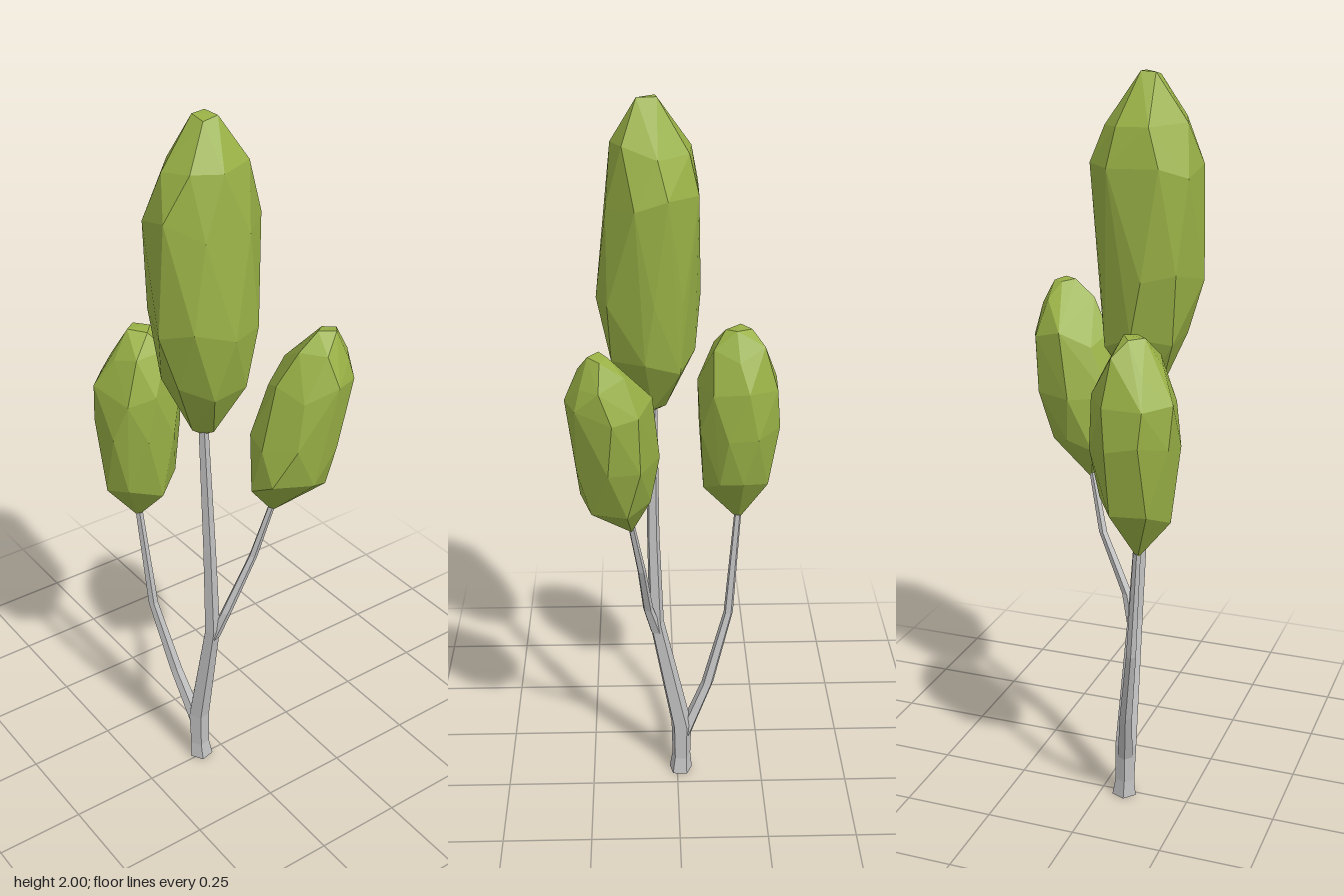
import * as THREE from 'three';
import { ConvexGeometry } from 'three/addons/geometries/ConvexGeometry.js';

const bark = new THREE.MeshStandardMaterial({ color: 0xc2c2c2, flatShading: true });
bark.name = 'pale grey bark';
const leaf = new THREE.MeshStandardMaterial({ color: 0x99b146, flatShading: true });
leaf.name = 'leaf green';

// Tapered limb through level rings: each ring is [x, y, z, radius]
function limb(name, rings, sides = 5) {
  const pos = [], idx = [];
  rings.forEach(([x, y, z, r]) => {
    for (let i = 0; i < sides; i++) {
      const a = (i / sides) * Math.PI * 2 + 0.4;
      pos.push(x + r * Math.cos(a), y, z + r * Math.sin(a));
    }
  });
  for (let k = 0; k < rings.length - 1; k++) {
    for (let i = 0; i < sides; i++) {
      const a = k * sides + i, b = k * sides + (i + 1) % sides;
      idx.push(a, a + sides, b, b, a + sides, b + sides);
    }
  }
  // End caps
  const top = (rings.length - 1) * sides;
  for (let i = 1; i < sides - 1; i++) {
    idx.push(0, i, i + 1, top, top + i + 1, top + i);
  }
  const g = new THREE.BufferGeometry();
  g.setAttribute('position', new THREE.Float32BufferAttribute(pos, 3));
  g.setIndex(idx);
  g.computeVertexNormals();
  const m = new THREE.Mesh(g, bark);
  m.name = name;
  return m;
}

// Faceted crown from staggered rings: each ring is [y, xMin, xMax, zMin, zMax, sides]
function crown(name, tip, rings, seed) {
  const rand = () => (seed = (seed * 16807) % 2147483647) / 2147483647;
  const pts = [new THREE.Vector3(...tip)];
  rings.forEach(([y, x0, x1, z0, z1, n], k) => {
    for (let i = 0; i < n; i++) {
      const a = ((i + (k % 2) * 0.5 + (rand() - 0.5) * 0.3) / n) * Math.PI * 2;
      pts.push(new THREE.Vector3(
        (x0 + x1) / 2 + Math.cos(a) * (x1 - x0) * 0.51,
        y + (n > 4 ? (rand() - 0.5) * 0.05 : -rand() * 0.012),
        (z0 + z1) / 2 + Math.sin(a) * (z1 - z0) * 0.51
      ));
    }
  });
  const m = new THREE.Mesh(new ConvexGeometry(pts), leaf);
  m.name = name;
  return m;
}

export function createModel() {
  const tree = new THREE.Group();
  tree.name = 'tree';

  // Trunk and its two side branches
  tree.add(
    limb('trunk', [
      [-0.01, 0, 0.067, 0.035], [-0.012, 0.05, 0.07, 0.028], [-0.012, 0.16, 0.072, 0.031],
      [0.06, 0.52, 0.072, 0.022], [0.067, 0.8, 0.085, 0.018], [0.066, 1.22, 0.102, 0.013]
    ]),
    limb('rightBranch', [
      [-0.018, 0.12, 0.072, 0.022], [-0.09, 0.29, 0.098, 0.018],
      [-0.15, 0.51, 0.132, 0.014], [-0.175, 0.85, 0.156, 0.01]
    ]),
    limb('backBranch', [
      [0.06, 0.49, 0.068, 0.018], [0.083, 0.58, 0.04, 0.015],
      [0.1, 0.75, -0.038, 0.012], [0.13, 0.94, -0.085, 0.009]
    ])
  );

  // Leaf crowns
  tree.add(
    crown('mainCrown', [0.065, 1.165, 0.102], [
      [1.19, 0.03, 0.1, 0.065, 0.135, 4],
      [1.33, -0.045, 0.18, -0.02, 0.2, 7],
      [1.5, -0.06, 0.207, -0.035, 0.24, 8],
      [1.76, -0.066, 0.185, -0.05, 0.237, 8],
      [1.87, -0.04, 0.165, -0.015, 0.2, 7],
      [2, 0.045, 0.105, 0.065, 0.125, 4]
    ], 11),
    crown('rightCrown', [-0.175, 0.805, 0.156], [
      [0.94, -0.26, -0.075, 0.055, 0.245, 7],
      [1.12, -0.286, -0.058, 0.033, 0.26, 8],
      [1.23, -0.283, -0.058, 0.036, 0.26, 7],
      [1.32, -0.245, -0.085, 0.07, 0.215, 6],
      [1.39, -0.2, -0.13, 0.11, 0.17, 4]
    ], 23),
    crown('backCrown', [0.125, 0.895, -0.08], [
      [1.01, 0.07, 0.255, -0.2, 0, 7],
      [1.14, 0.052, 0.27, -0.245, -0.005, 7],
      [1.29, 0.07, 0.284, -0.262, -0.05, 8],
      [1.38, 0.13, 0.255, -0.25, -0.1, 6],
      [1.44, 0.175, 0.225, -0.215, -0.155, 4]
    ], 37)
  );
  return tree;
}
